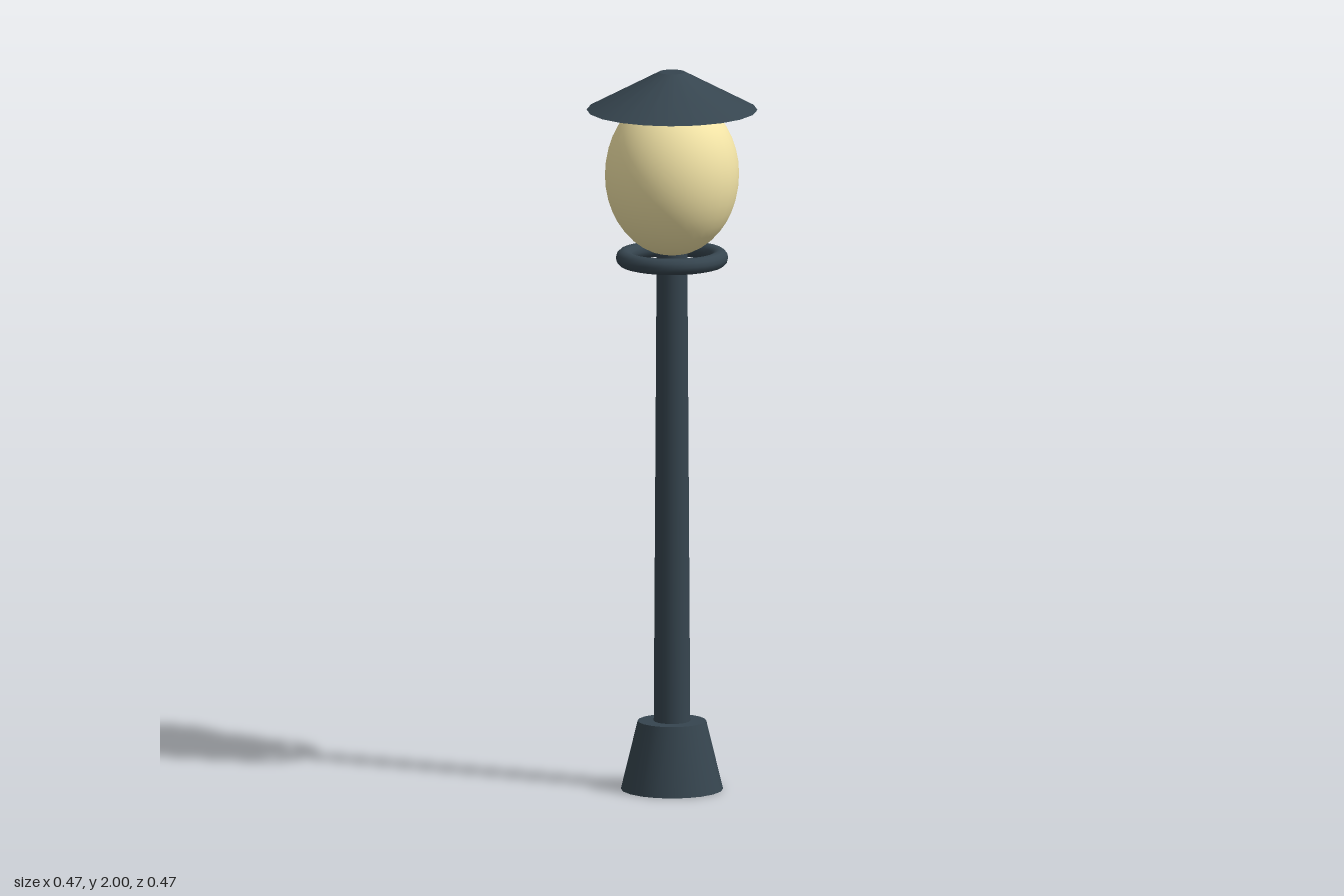
import * as THREE from 'three';

export function createModel() {
  const model = new THREE.Group();
  model.name = 'streetLamp';

  const iron = new THREE.MeshStandardMaterial({ color: 0x36454f });
  const glow = new THREE.MeshStandardMaterial({ color: 0xf5e6a8 });

  function add(name, geometry, material, y) {
    const mesh = new THREE.Mesh(geometry, material);
    mesh.name = name;
    mesh.position.y = y;
    model.add(mesh);
    return mesh;
  }

  // Tapered round part standing between two heights
  function taper(name, rBottom, rTop, y0, y1) {
    const geometry = new THREE.CylinderGeometry(rTop, rBottom, y1 - y0, 20);
    return add(name, geometry, iron, (y0 + y1) / 2);
  }

  taper('base', 0.14, 0.094, 0, 0.19);
  taper('post', 0.05, 0.042, 0.19, 1.5);

  // Open ring around the top of the post
  const ring = new THREE.TorusGeometry(0.131, 0.023, 12, 32).rotateX(Math.PI / 2);
  add('collarRing', ring, iron, 1.482);

  // Egg-shaped lamp globe
  const globe = new THREE.SphereGeometry(1, 32, 20).scale(0.184, 0.225, 0.184);
  add('globe', globe, glow, 1.715);

  // Shallow conical roof with a small flat top
  taper('cap', 0.234, 0.036, 1.895, 2);

  return model;
}
